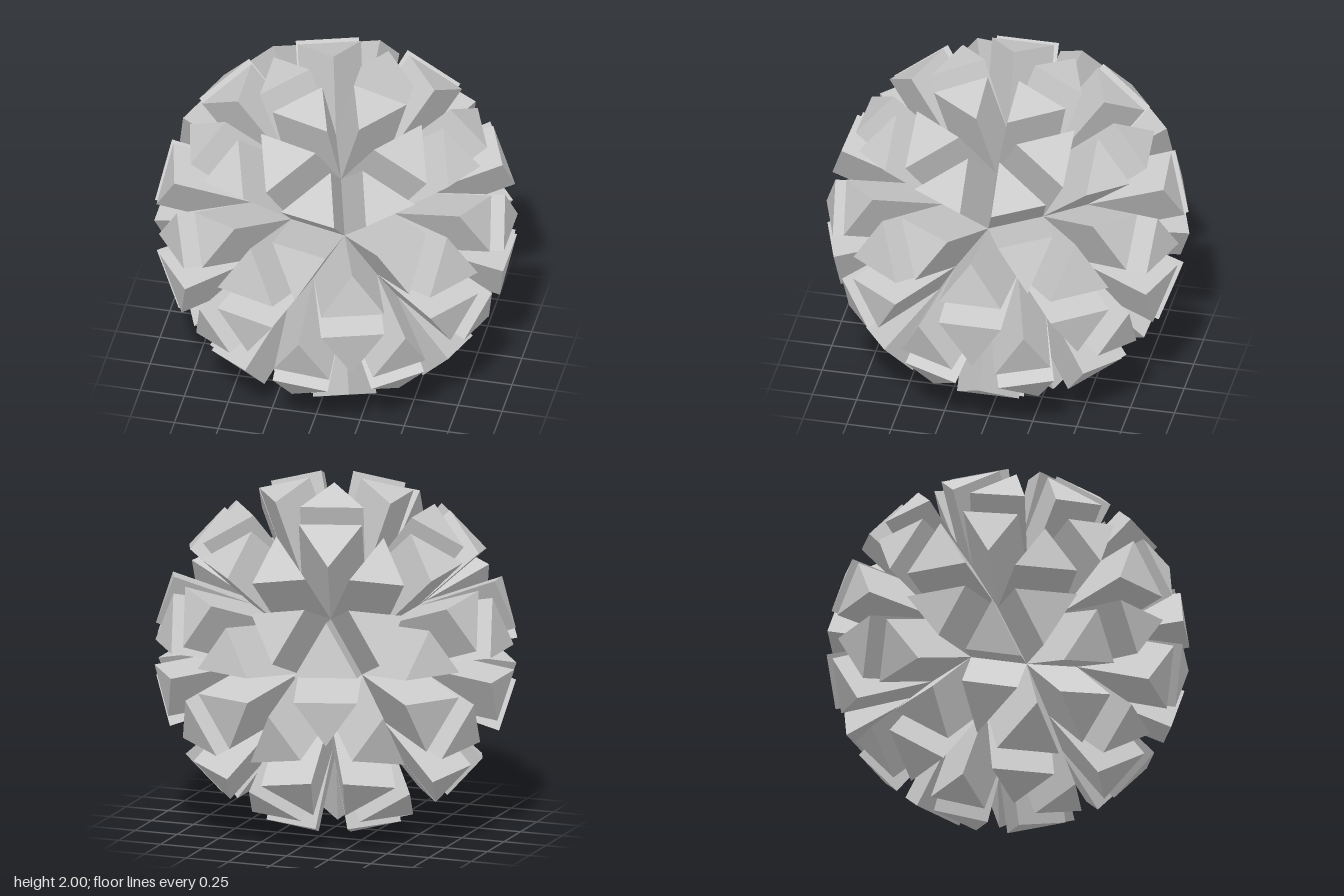
import * as THREE from 'three';

const CORE = 0.57;    // radius of the geodesic core
const LENGTH = 0.455; // how far each prism stands out from it

// Triangular prism: face a, b, c (counter-clockwise from outside) pushed out along its normal
function prism(a, b, c, length) {
  const normal = new THREE.Triangle(a, b, c).getNormal(new THREE.Vector3());
  const base = [a, b, c];
  const cap = base.map((p) => p.clone().addScaledVector(normal, length));
  const points = [...cap, c, b, a];
  for (let i = 0; i < 3; i++) {
    const j = (i + 1) % 3;
    points.push(base[i], base[j], cap[j], base[i], cap[j], cap[i]);
  }
  const geometry = new THREE.BufferGeometry().setFromPoints(points);
  geometry.computeVertexNormals();
  return geometry;
}

export function createModel() {
  const group = new THREE.Group();
  group.name = 'prismBall';
  const material = new THREE.MeshStandardMaterial({ color: 0xcccccc, flatShading: true });

  // 80-face geodesic sphere, turned so that a five-fold corner points straight up
  const core = new THREE.IcosahedronGeometry(CORE, 1);
  core.rotateZ(-Math.atan(2 / (1 + Math.sqrt(5))));
  const position = core.getAttribute('position');
  const corner = (i) => new THREE.Vector3().fromBufferAttribute(position, i);

  // One prism on every face
  for (let i = 0; i < position.count; i += 3) {
    const mesh = new THREE.Mesh(prism(corner(i), corner(i + 1), corner(i + 2), LENGTH), material);
    mesh.name = `prism${i / 3 + 1}`;
    group.add(mesh);
  }

  // Stand the ball on the ground
  const bottom = new THREE.Box3().setFromObject(group).min.y;
  for (const mesh of group.children) mesh.position.y = -bottom;
  return group;
}
